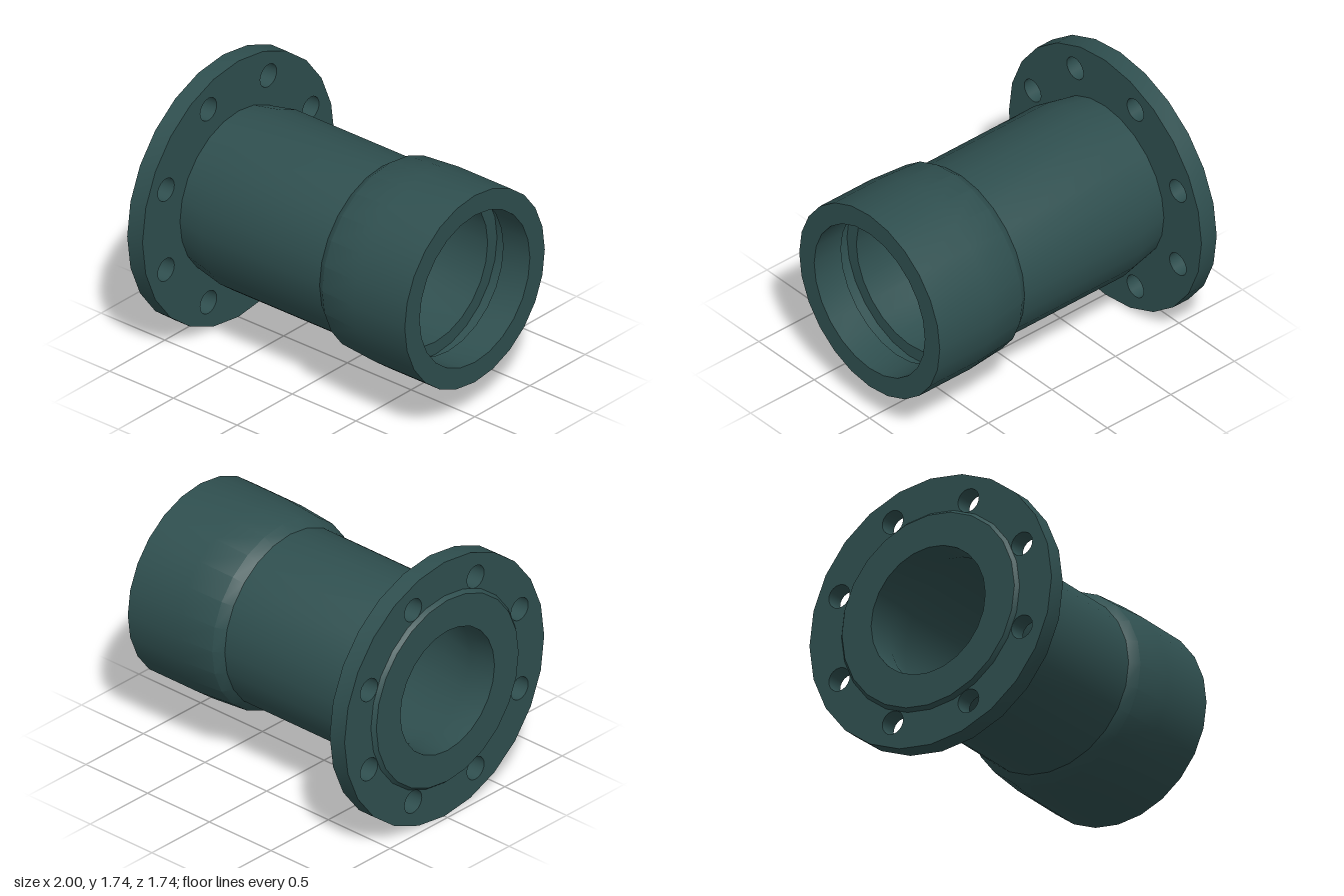
import * as THREE from 'three';
import { toCreasedNormals } from 'three/addons/utils/BufferGeometryUtils.js';

const SIDES = 24;
const AXIS_Y = 0.87; // height of the pipe axis

// Regular polygon as a list of points
function ring(radius, sides, cx = 0, cy = 0) {
  return Array.from({ length: sides }, (_, i) => {
    const a = (i / sides) * Math.PI * 2;
    return new THREE.Vector2(cx + radius * Math.cos(a), cy + radius * Math.sin(a));
  });
}

export function createModel() {
  const group = new THREE.Group();
  group.name = 'flangedSocketPipe';
  const material = new THREE.MeshStandardMaterial({ color: 0x2f4f4f });

  function add(name, geometry) {
    const mesh = new THREE.Mesh(toCreasedNormals(geometry, 0.6), material);
    mesh.name = name;
    mesh.position.y = AXIS_Y;
    group.add(mesh);
  }

  // Closed wall section, [radius, x]
  const profile = [
    // raised sealing face
    [0.41, -1], [0.62, -1], [0.64, -0.975], [0.53, -0.975],
    // neck, barrel and socket, outside
    [0.53, -0.855], [0.57, -0.65], [0.57, 0.275], [0.615, 0.335], [0.635, 0.6], [0.635, 1],
    // socket lip and gasket groove
    [0.5, 1], [0.5, 0.79], [0.56, 0.79], [0.56, 0.69], [0.475, 0.69],
    // bore narrowing towards the flange
    [0.475, -0.55], [0.41, -0.8], [0.41, -1],
  ].map(([r, x]) => new THREE.Vector2(r, x));
  const body = new THREE.LatheGeometry(profile, SIDES);
  body.rotateZ(-Math.PI / 2);
  add('pipeBody', body);

  // Flange plate with eight bolt holes
  const plate = new THREE.Shape(ring(0.87, SIDES));
  plate.holes.push(new THREE.Path(ring(0.53, SIDES)));
  for (let i = 0; i < 8; i++) {
    const a = ((i + 0.5) / 8) * Math.PI * 2;
    plate.holes.push(new THREE.Path(ring(0.075, 20, 0.71 * Math.cos(a), 0.71 * Math.sin(a))));
  }
  const flange = new THREE.ExtrudeGeometry(plate, { depth: 0.12, bevelEnabled: false });
  flange.rotateY(Math.PI / 2);
  flange.translate(-0.975, 0, 0);
  add('flange', flange);

  return group;
}
